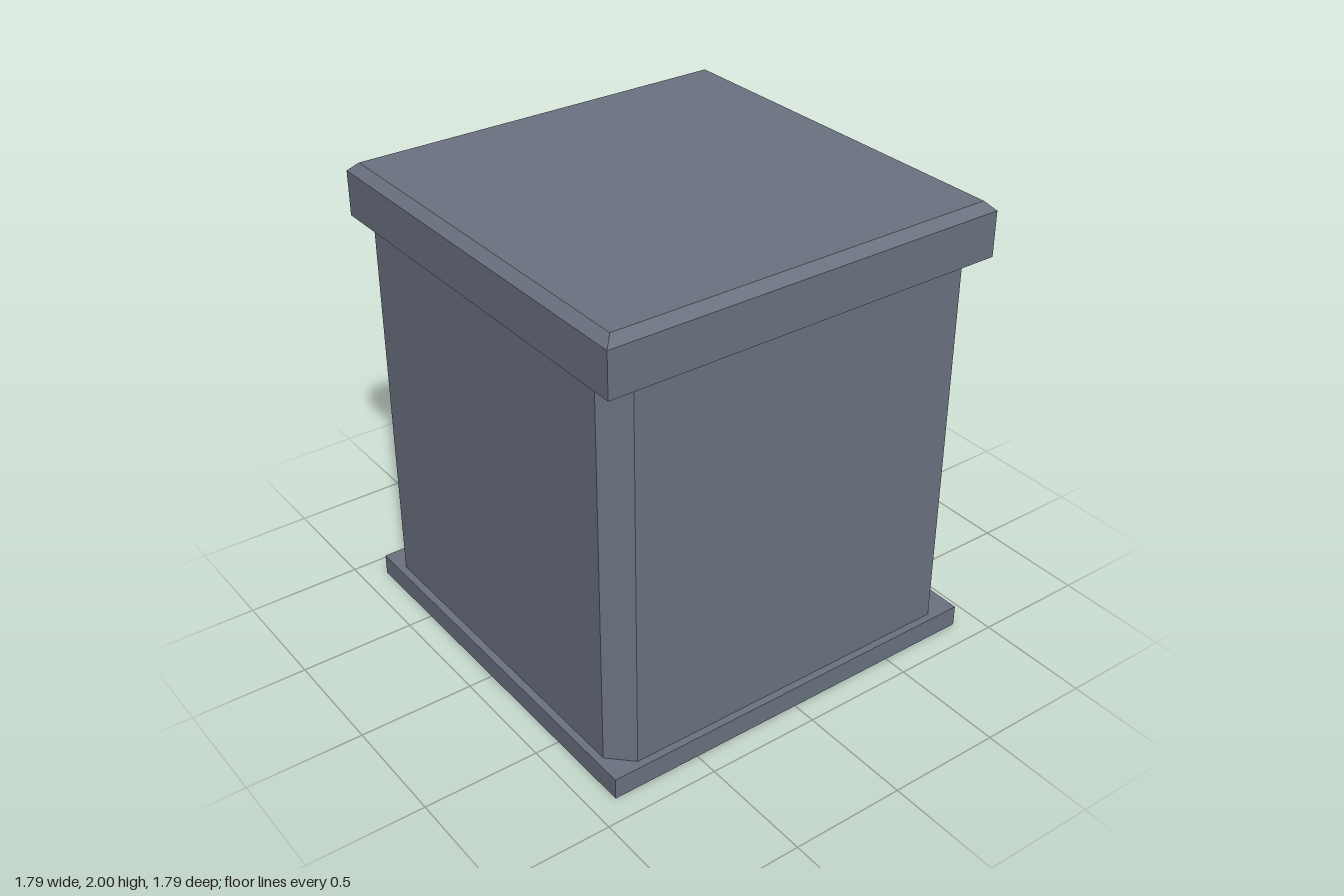
import * as THREE from 'three';

const slate = new THREE.MeshStandardMaterial({ color: 0x6b7280 });
slate.name = 'slate grey';

function addPart(group, name, geometry, y) {
  const mesh = new THREE.Mesh(geometry, slate);
  mesh.name = name;
  mesh.position.y = y;
  group.add(mesh);
}

// Square frustum standing on y = 0, given by its half widths, with flat faces
function squareFrustum(top, bottom, height) {
  const g = new THREE.CylinderGeometry(top * Math.SQRT2, bottom * Math.SQRT2, height, 4)
    .rotateY(Math.PI / 4)
    .translate(0, height / 2, 0)
    .toNonIndexed();
  g.computeVertexNormals();
  return g;
}

// Upright square prism with bevelled vertical corners
function bevelledPrism(half, flat, height) {
  const points = [];
  for (let i = 0; i < 4; i++) {
    const a = (i * Math.PI) / 2;
    for (const side of [-flat, flat]) {
      points.push(new THREE.Vector2(half, side).rotateAround(new THREE.Vector2(), a));
    }
  }
  return new THREE.ExtrudeGeometry(new THREE.Shape(points), { depth: height, bevelEnabled: false })
    .rotateX(-Math.PI / 2);
}

export function createModel() {
  const group = new THREE.Group();
  group.name = 'pedestalBlock';

  const half = 0.893;
  const baseTop = 0.094, lidBottom = 1.77, lidShoulder = 1.963;

  // Thin plinth
  addPart(group, 'base', new THREE.BoxGeometry(half * 2, baseTop, half * 2), baseTop / 2);

  // Main block with bevelled corners
  addPart(group, 'body', bevelledPrism(0.86, 0.765, lidBottom - baseTop), baseTop);

  // Lid with a bevelled upper rim
  const lidHeight = lidShoulder - lidBottom;
  addPart(group, 'lid', new THREE.BoxGeometry(half * 2, lidHeight, half * 2), lidBottom + lidHeight / 2);
  addPart(group, 'lidBevel', squareFrustum(0.855, half, 2 - lidShoulder), lidShoulder);

  return group;
}
